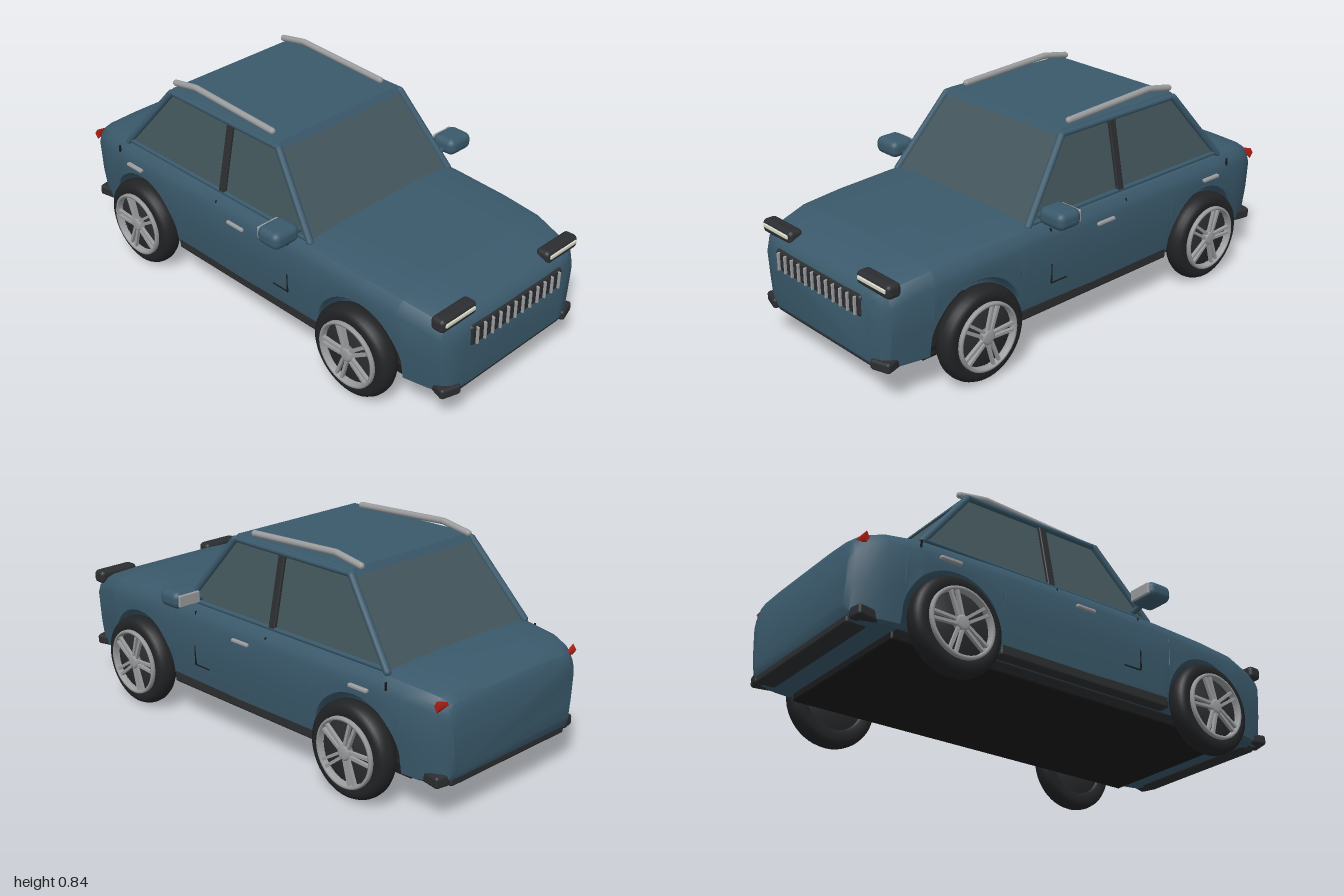
import * as THREE from 'three';
import { toCreasedNormals } from 'three/addons/utils/BufferGeometryUtils.js';
import { RoundedBoxGeometry } from 'three/addons/geometries/RoundedBoxGeometry.js';

const paint = (color, side = THREE.FrontSide) => new THREE.MeshStandardMaterial({ color, side });
const BODY = paint(0x3a596b), GLASS = paint(0x43565c), DARK = paint(0x2b2d30), BLACK = paint(0x1a1b1c);
const TYRE = paint(0x222325, THREE.DoubleSide), METAL = paint(0x999b9d, THREE.DoubleSide);
const LAMP = paint(0xd8d8c8), RED = paint(0xb02015);
const WHEEL_R = 0.185, ARCH_R = 0.2, AXLES = [-0.615, 0.59];

function add(parent, name, geometry, material, x = 0, y = 0, z = 0) {
  const mesh = new THREE.Mesh(geometry, material);
  mesh.name = name;
  mesh.position.set(x, y, z);
  parent.add(mesh);
  return mesh;
}
const rbox = (w, h, d, r = 0.01) => new RoundedBoxGeometry(w, h, d, 3, r);

// Closed skin through rings of equal length, ordered back to front, each counterclockwise seen from +z
function loft(rings, crease = 0.5) {
  const n = rings[0].length, index = [];
  for (let i = 0; i < rings.length - 1; i++) {
    for (let j = 0; j < n; j++) {
      const a = i * n + j, b = i * n + (j + 1) % n;
      index.push(a, b, a + n, b, b + n, a + n);
    }
  }
  const last = (rings.length - 1) * n;
  for (let j = 1; j < n - 1; j++) index.push(0, j + 1, j, last, last + j, last + j + 1);
  const g = new THREE.BufferGeometry();
  g.setAttribute('position', new THREE.Float32BufferAttribute(rings.flat(2), 3));
  g.setIndex(index);
  return toCreasedNormals(g, crease);
}

// Rod between two points
function rod(parent, name, a, b, radius, material) {
  const from = new THREE.Vector3(...a), to = new THREE.Vector3(...b);
  const dir = to.clone().sub(from);
  const mesh = add(parent, name, new THREE.CapsuleGeometry(radius, dir.length(), 4, 10), material);
  mesh.position.copy(from).add(to).multiplyScalar(0.5);
  mesh.quaternion.setFromUnitVectors(new THREE.Vector3(0, 1, 0), dir.normalize());
}

// Body outline by station: z, half width, bottom, top
const STATIONS = [
  [-1.0, 0.335, 0.19, 0.42], [-0.985, 0.355, 0.16, 0.45], [-0.95, 0.378, 0.14, 0.474], [-0.88, 0.402, 0.14, 0.49],
  [-0.75, 0.418, 0.14, 0.503], [-0.4, 0.427, 0.16, 0.506], [0, 0.428, 0.16, 0.508], [0.35, 0.425, 0.16, 0.508],
  [0.6, 0.42, 0.14, 0.5], [0.77, 0.41, 0.14, 0.49], [0.88, 0.388, 0.14, 0.468], [0.94, 0.372, 0.14, 0.445],
  [0.965, 0.345, 0.145, 0.425], [0.98, 0.295, 0.165, 0.395],
];
function stationAt(z) {
  let i = 0;
  while (i < STATIONS.length - 2 && z > STATIONS[i + 1][0]) i++;
  const a = STATIONS[i], b = STATIONS[i + 1], t = (z - a[0]) / (b[0] - a[0]);
  return a.map((v, k) => v + (b[k] - v) * t);
}

// Lower body with the wheel arches cut through its bottom edge
function bodyGeometry() {
  const zs = STATIONS.map(s => s[0]);
  for (const c of AXLES) {
    for (let k = 0; k <= 20; k++) zs.push(c + ARCH_R * Math.cos(Math.PI * k / 20));
  }
  zs.sort((a, b) => a - b);
  return loft(zs.map(z => {
    let [, w, bottom, top] = stationAt(z);
    for (const c of AXLES) {
      const d = Math.abs(z - c);
      if (d < ARCH_R - 1e-6) bottom = Math.max(bottom, WHEEL_R + Math.sqrt(ARCH_R ** 2 - d * d));
    }
    const side = y => w - 0.13 * Math.max(0, 0.32 - y);
    const shoulder = top - 0.065, mid = bottom + (shoulder - bottom) * 0.5;
    const half = [
      [side(bottom) - 0.012, bottom], [side(bottom + 0.01), bottom + 0.01], [side(mid), mid], [w, shoulder],
      [w - 0.01, top - 0.035], [w - 0.03, top - 0.012], [w - 0.065, top - 0.002], [w * 0.5, top + 0.003],
    ];
    const ring = [...half, ...half.slice().reverse().map(([x, y]) => [-x, y])];
    return ring.map(([x, y]) => [x, y, z]);
  }));
}

// Tapered block from a lower to an upper rectangle: [half width, back z, front z, y]
function taper(lo, hi) {
  const ring = k => [[-lo[0], lo[3], lo[k]], [lo[0], lo[3], lo[k]], [hi[0], hi[3], hi[k]], [-hi[0], hi[3], hi[k]]];
  return loft([ring(1), ring(2)], 0.2);
}

function makeWheel() {
  const wheel = new THREE.Group();
  const v = pts => pts.map(p => new THREE.Vector2(...p));
  const spin = (name, pts, mat) => {
    add(wheel, name, new THREE.LatheGeometry(v(pts), 48), mat).rotation.z = -Math.PI / 2;
  };
  spin('tyre', [[0.12, -0.03], [0.13, -0.04], [0.16, -0.042], [0.175, -0.033], [0.183, -0.017], [0.185, 0],
    [0.183, 0.017], [0.175, 0.033], [0.16, 0.042], [0.137, 0.042], [0.12, 0.03]], TYRE);
  spin('rimBacking', [[0, -0.03], [0.13, -0.03], [0.13, 0.028], [0, 0.028]], DARK);
  spin('rimRing', [[0.12, 0.028], [0.134, 0.035], [0.134, 0.052], [0.129, 0.056], [0.122, 0.054], [0.12, 0.028]], METAL);
  spin('hub', [[0, 0.028], [0.028, 0.028], [0.028, 0.05], [0.02, 0.054], [0, 0.054]], METAL);
  // Five twin spokes
  for (let i = 0; i < 5; i++) {
    const spokes = new THREE.Group();
    spokes.name = 'spokePair';
    for (const s of [-1, 1]) {
      add(spokes, 'spoke', new THREE.BoxGeometry(0.014, 0.108, 0.011), METAL, 0.043, 0.071, s * 0.011).rotation.x = s * 0.05;
    }
    spokes.rotation.x = -Math.PI / 2 + i * Math.PI * 0.4;
    wheel.add(spokes);
  }
  return wheel;
}

export function createModel() {
  const car = new THREE.Group();
  car.name = 'car';
  add(car, 'body', bodyGeometry(), BODY);
  add(car, 'underfloor', rbox(0.68, 0.05, 1.61), BLACK, 0, 0.135, -0.015);
  add(car, 'frontValance', rbox(0.68, 0.035, 0.16), DARK, 0, 0.128, 0.71);

  // Cabin: glass block, roof, pillars
  const lo = [0.378, -0.735, 0.325, 0.495], hi = [0.318, -0.505, 0.1, 0.788];
  add(car, 'windows', taper(lo, hi), GLASS);
  add(car, 'roof', taper([0.334, -0.522, 0.114, 0.778], [0.316, -0.505, 0.096, 0.803]), BODY);

  for (const s of [-1, 1]) {
    rod(car, 'frontPillar', [s * 0.38, 0.5, 0.32], [s * 0.326, 0.782, 0.104], 0.014, BODY);
    rod(car, 'rearPillar', [s * 0.38, 0.5, -0.735], [s * 0.326, 0.782, -0.51], 0.014, BODY);
    rod(car, 'roofEdge', [s * 0.325, 0.785, 0.1], [s * 0.325, 0.785, -0.51], 0.012, BODY);
    rod(car, 'windowSill', [s * 0.379, 0.506, 0.31], [s * 0.379, 0.506, -0.73], 0.009, BODY);
    add(car, 'doorPillar', rbox(0.016, 0.285, 0.034, 0.006), DARK, s * 0.352, 0.643, -0.16).rotation.z = s * 0.2;

    // Roof rail bent down at its rear
    const rail = new THREE.CurvePath();
    const p = [[0.812, 0.03], [0.832, -0.4], [0.81, -0.52]].map(([y, z]) => new THREE.Vector3(s * 0.29, y, z));
    rail.add(new THREE.LineCurve3(p[0], p[1]));
    rail.add(new THREE.LineCurve3(p[1], p[2]));
    add(car, 'roofRail', new THREE.TubeGeometry(rail, 40, 0.013, 10), METAL);
    for (const end of [p[0], p[2]]) add(car, 'railEnd', new THREE.SphereGeometry(0.013, 10, 8), METAL, end.x, end.y, end.z);

    // Door mirror
    add(car, 'mirrorHousing', rbox(0.125, 0.07, 0.11, 0.028), BODY, s * 0.477, 0.555, 0.255);
    add(car, 'mirrorGlass', rbox(0.1, 0.048, 0.012, 0.005), METAL, s * 0.477, 0.555, 0.201);
    rod(car, 'mirrorArm', [s * 0.375, 0.525, 0.255], [s * 0.43, 0.54, 0.255], 0.012, BODY);

    // Lamps
    add(car, 'headlightHousing', rbox(0.185, 0.055, 0.06, 0.018), DARK, s * 0.289, 0.451, 0.927);
    add(car, 'headlightStrip', rbox(0.155, 0.016, 0.014, 0.004), LAMP, s * 0.289, 0.456, 0.955);
    const tail = add(car, 'tailLight', new THREE.ConeGeometry(0.022, 0.08, 4), RED, s * 0.342, 0.44, -0.967);
    tail.rotation.set(0, s * -0.2, s * Math.PI / 2);
    tail.scale.z = 0.65;

    // Sill and bumper corners
    add(car, 'sill', rbox(0.05, 0.048, 0.8), DARK, s * 0.385, 0.168, -0.01);
    add(car, 'frontBumperCorner', rbox(0.085, 0.042, 0.075, 0.012), DARK, s * 0.325, 0.161, 0.94).rotation.y = s * 0.3;
    add(car, 'rearBumperCorner', rbox(0.06, 0.045, 0.13, 0.012), DARK, s * 0.345, 0.163, -0.915).rotation.y = s * -0.2;

    // Door handles and seams
    for (const z of [-0.035, -0.645]) add(car, 'doorHandle', rbox(0.018, 0.014, 0.09, 0.005), METAL, s * 0.43, 0.43, z);
    for (const z of [0.24, -0.16, -0.76]) add(car, 'doorSeam', new THREE.BoxGeometry(0.008, 0.03, 0.005), BLACK, s * 0.414, 0.465, z);
    add(car, 'lowerSeam', new THREE.BoxGeometry(0.01, 0.08, 0.005), BLACK, s * 0.42, 0.3, 0.24);
    add(car, 'lowerSeamFoot', new THREE.BoxGeometry(0.01, 0.005, 0.08), BLACK, s * 0.416, 0.26, 0.2);

    for (const z of AXLES) {
      const wheel = makeWheel();
      wheel.name = 'wheel';
      wheel.position.set(s * 0.418, WHEEL_R, z);
      if (s < 0) wheel.scale.x = -1;
      car.add(wheel);
    }
  }

  // Grille with upright bars
  add(car, 'grille', rbox(0.515, 0.085, 0.06, 0.014), DARK, 0, 0.365, 0.956);
  for (let i = 0; i < 12; i++) {
    add(car, 'grilleBar', rbox(0.008, 0.072, 0.018, 0.003), METAL, (i - 5.5) * 0.042, 0.365, 0.987);
  }
  // Bumper strips along the lower edges
  add(car, 'frontBumperStrip', rbox(0.6, 0.022, 0.07, 0.008), DARK, 0, 0.143, 0.93);
  add(car, 'rearBumperStrip', rbox(0.64, 0.035, 0.08, 0.01), DARK, 0, 0.15, -0.945);
  return car;
}
